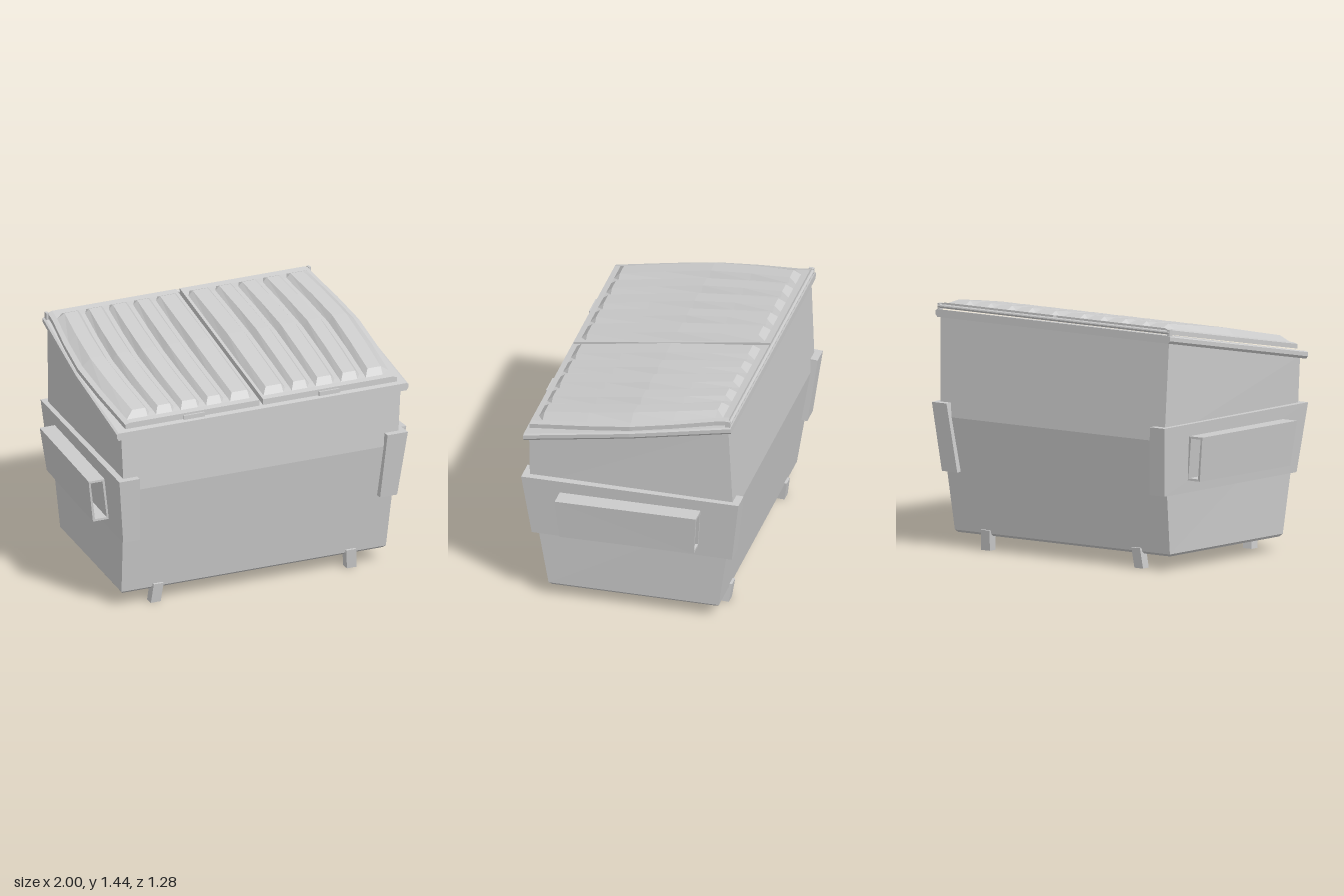
import * as THREE from 'three';

const material = new THREE.MeshStandardMaterial({ color: 0xcccccc, flatShading: true });

// Joins rings of [x, y, z] corners; rings run counter-clockwise seen against the travel direction.
function loft(rings, capped = true) {
  const pos = [];
  const tri = (a, b, c) => pos.push(...a, ...b, ...c);
  const n = rings[0].length;
  for (let r = 0; r < rings.length - 1; r++) {
    const a = rings[r], b = rings[r + 1];
    for (let i = 0; i < n; i++) {
      const j = (i + 1) % n;
      tri(a[i], a[j], b[j]);
      tri(a[i], b[j], b[i]);
    }
  }
  if (capped) {
    const a = rings[0], b = rings[rings.length - 1];
    for (let i = 1; i < n - 1; i++) {
      tri(a[0], a[i + 1], a[i]);
      tri(b[0], b[i], b[i + 1]);
    }
  }
  const g = new THREE.BufferGeometry();
  g.setAttribute('position', new THREE.Float32BufferAttribute(pos, 3));
  g.computeVertexNormals();
  return g;
}

const mirrorRings = rings => rings.map(r => r.map(([x, y, z]) => [-x, y, z]).reverse());

// Height of the sloping rim's top surface
const rimTop = z => 1.155 + (0.63 - z) * 0.192;

// Four corners seen from above, wider at the front; y is a number or a function of z
function plan(xf, zf, xb, zb, y) {
  const h = typeof y === 'function' ? y : () => y;
  return [[xf, h(zf), zf], [xb, h(zb), zb], [-xb, h(zb), zb], [-xf, h(zf), zf]];
}

export function createModel() {
  const model = new THREE.Group();
  const add = (name, geometry, x = 0, y = 0, z = 0) => {
    const m = new THREE.Mesh(geometry, material);
    m.name = name;
    m.position.set(x, y, z);
    model.add(m);
    return m;
  };
  const addPair = (name, rings, capped) => {
    add('left' + name, loft(rings, capped));
    add('right' + name, loft(mirrorRings(rings), capped));
  };

  // Tapered container with a small bevel round the floor
  add('container', loft([
    plan(0.82, 0.485, 0.76, -0.485, 0.085),
    plan(0.832, 0.503, 0.772, -0.503, 0.1),
    plan(0.862, 0.605, 0.805, -0.6, 0.77),
    plan(0.88, 0.605, 0.82, -0.575, z => rimTop(z) - 0.03),
  ]));

  // Sloping rim, bulging slightly at the middle of each side
  const rimRing = (grow, drop) => {
    const side = [[0.905, 0.63], [0.885, 0], [0.83, -0.595]]
      .map(([x, z]) => [x + grow, rimTop(z) - drop, z]);
    return [...side, ...side.map(([x, y, z]) => [-x, y, z]).reverse()];
  };
  add('rim', loft([rimRing(0, 0.045), rimRing(0.012, 0.03), rimRing(0.012, 0.006), rimRing(0, 0)]));

  // Ribbed lids: [x, raised] across, [z, rib height, width scale] along
  const across = [[0.012, 0], [0.03, 0], [0.06, 1]];
  for (const v of [0.2, 0.355, 0.52, 0.68]) {
    across.push([v - 0.04, 1], [v - 0.014, 0.12], [v + 0.014, 0.12], [v + 0.04, 1]);
  }
  across.push([0.805, 1], [0.855, 0], [0.885, -0.2]);
  const along = [
    [-0.575, 0, 0.925], [-0.535, 0, 0.928], [-0.49, 0.028, 0.932], [-0.25, 0.036, 0.972],
    [0, 0.042, 1], [0.27, 0.036, 0.992], [0.54, 0.032, 0.972], [0.575, 0, 0.97], [0.61, 0, 0.967],
  ];
  addPair('Lid', along.map(([z, rib, s]) => {
    const base = rimTop(z);
    const top = across.map(([x, r]) => [
      x < 0.04 ? x : x * s,
      base + 0.043 + (r < 0 ? r * 0.04 : r * rib), z,
    ]);
    return [[0.012, base + 0.008, z], [0.885 * s, base + 0.008, z], ...top.reverse()];
  }));

  // Reinforcing plates wrapping the corners on each side
  addPair('SidePlate', [
    [[0.862, 0.45, 0.595], [0.8, 0.45, -0.59], [0.69, 0.45, -0.59], [0.755, 0.45, 0.595]],
    [[0.908, 0.855, 0.645], [0.835, 0.855, -0.64], [0.73, 0.855, -0.64], [0.78, 0.855, 0.645]],
  ]);

  // Hollow fork pockets, open at both ends
  const pocketRing = (xTop, xBottom, width, zTop, zBottom, t) => [
    [xBottom - width + t, 0.522 + t, zBottom], [xBottom - t, 0.522 + t, zBottom],
    [xTop - t, 0.785 - t, zTop], [xTop - width + t, 0.785 - t, zTop],
  ];
  const back = t => pocketRing(0.94, 0.905, 0.095, -0.415, -0.393, t);
  const front = t => pocketRing(1.0, 0.965, 0.1, 0.415, 0.397, t);
  addPair('ForkPocket', [back(0), front(0), front(0.013), back(0.013), back(0)], false);

  // Short feet leaning outwards
  const foot = (x, y, z0, z1) =>
    [[x + 0.031, y, z1], [x + 0.031, y, z0], [x - 0.031, y, z0], [x - 0.031, y, z1]];
  addPair('FrontFoot', [foot(0.617, 0, 0.45, 0.505), foot(0.606, 0.12, 0.465, 0.522)]);
  addPair('BackFoot', [foot(0.55, 0, -0.505, -0.45), foot(0.54, 0.12, -0.522, -0.465)]);

  // Hinge rod with end brackets along the back
  add('hingeRod', new THREE.CylinderGeometry(0.011, 0.011, 1.66, 10), 0, 1.408, -0.582)
    .rotation.z = Math.PI / 2;
  for (const side of [-1, 1]) {
    const label = side > 0 ? 'left' : 'right';
    add(label + 'HingeBracket', new THREE.BoxGeometry(0.016, 0.045, 0.03), side * 0.825, 1.402, -0.575);
    // Small grip at the front of each lid
    add(label + 'LidGrip', new THREE.BoxGeometry(0.13, 0.025, 0.02), side * 0.425, 1.178, 0.612);
  }
  return model;
}
